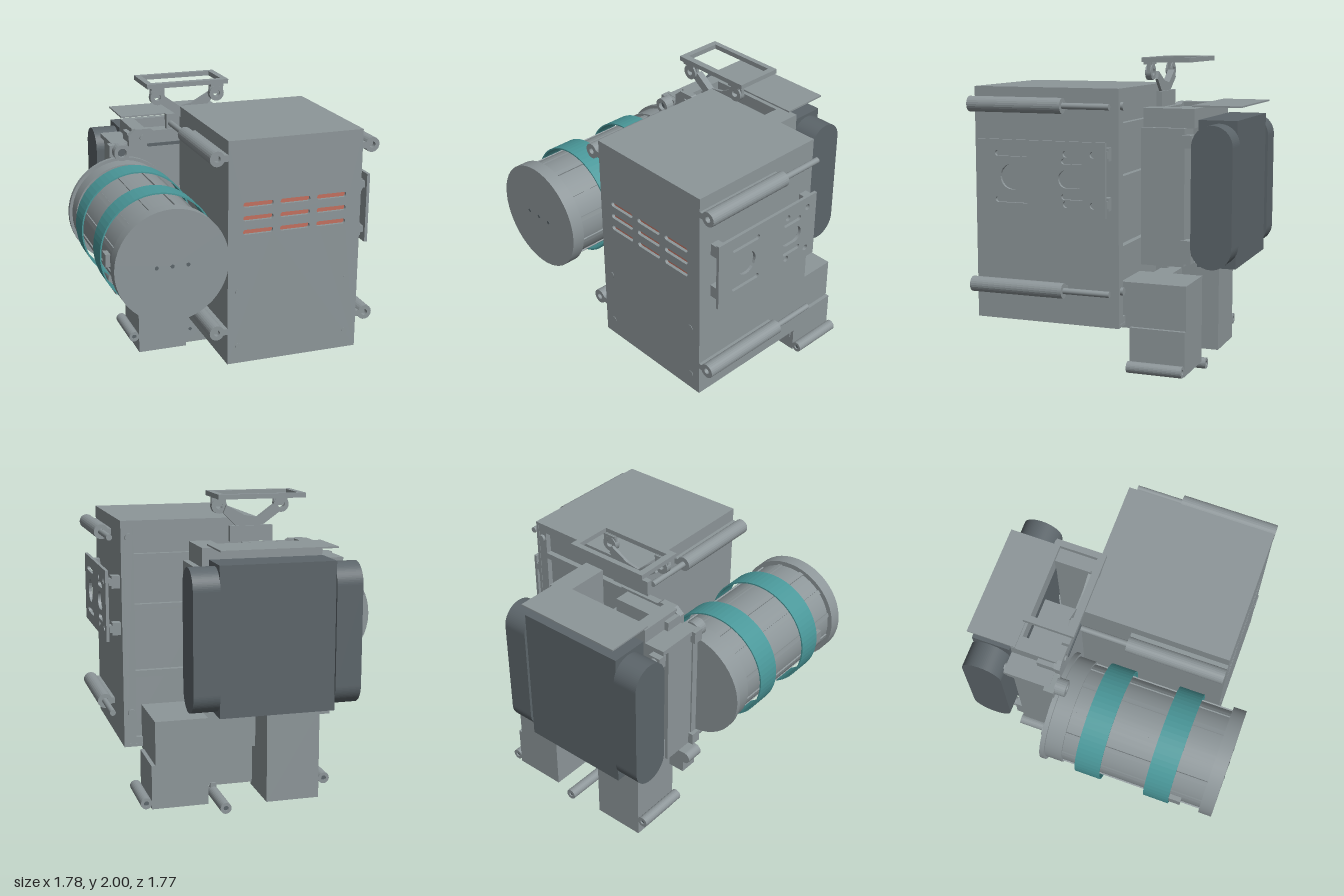
import * as THREE from 'three';

const mat = (name, color) => Object.assign(new THREE.MeshStandardMaterial({ color }), { name });

export function createModel() {
  const root = new THREE.Group();
  root.name = 'deviceAssembly';
  const grey = mat('body grey', 0x8d9699), dark = mat('pack dark grey', 0x5c656a);
  const teal = mat('band teal', 0x4a989a), red = mat('board red', 0xc2705f);

  const add = (name, geo, m = grey) => {
    const mesh = new THREE.Mesh(geo, m);
    mesh.name = name;
    root.add(mesh);
    return mesh;
  };
  // Box given by its limits on each axis
  const box = (name, x0, x1, y0, y1, z0, z1, m) =>
    add(name, new THREE.BoxGeometry(x1 - x0, y1 - y0, z1 - z0)
      .translate((x0 + x1) / 2, (y0 + y1) / 2, (z0 + z1) / 2), m);
  // Cylinder along z
  const rod = (name, x, y, r, z0, z1, m, seg = 24) =>
    add(name, new THREE.CylinderGeometry(r, r, z1 - z0, seg).rotateX(Math.PI / 2)
      .translate(x, y, (z0 + z1) / 2), m);
  // Outlines
  const rect = (x0, x1, y0, y1) => new THREE.Shape([[x0, y0], [x1, y0], [x1, y1], [x0, y1]]
    .map(p => new THREE.Vector2(...p)));
  const circle = (x, y, r) => new THREE.Shape().absarc(x, y, r, 0, Math.PI * 2);
  const slot = (x0, x1, y, r) => new THREE.Shape()
    .absarc(x1 - r, y, r, -Math.PI / 2, Math.PI / 2)
    .absarc(x0 + r, y, r, Math.PI / 2, Math.PI * 1.5);
  const poly = pts => new THREE.Shape(pts.map(p => new THREE.Vector2(...p)));
  const extrude = (shape, holes, depth, seg = 12) => {
    shape.holes.push(...holes);
    return new THREE.ExtrudeGeometry(shape, { depth, bevelEnabled: false, curveSegments: seg });
  };
  const plate = (name, shape, holes, z0, z1, m, seg) =>
    add(name, extrude(shape, holes, z1 - z0, seg).translate(0, 0, z0), m);

  // Main housing: hollow sleeve, slotted front, recessed ribbed back
  plate('housingSleeve', rect(-0.11, 0.775, 0.37, 1.83), [rect(-0.09, 0.755, 0.39, 1.81)], -0.265, 0.67);
  const vents = [];
  for (const y of [1.245, 1.333, 1.42])
    for (const x of [-0.012, 0.232, 0.476]) vents.push(slot(x, x + 0.198, y, 0.016));
  const screws = [[-0.038, 0.855], [0.695, 0.855], [-0.038, 0.485], [0.7, 0.485]];
  plate('housingFront', rect(-0.11, 0.775, 0.37, 1.83), vents, 0.67, 0.69);
  for (const [x, y] of screws) rod('frontScrew', x, y, 0.02, 0.68, 0.693);
  box('ventBoard', -0.05, 0.72, 1.19, 1.47, 0.625, 0.635, red);
  box('housingBack', -0.095, 0.76, 0.385, 1.815, -0.225, -0.205);
  for (const y of [0.41, 0.85, 1.28, 1.6, 1.79]) box('backRib', -0.09, 0.755, y - 0.02, y + 0.02, -0.262, -0.22);
  for (const x of [-0.06, 0.725]) {
    box('backRail', x - 0.03, x + 0.03, 0.39, 1.81, -0.262, -0.22);
    for (const y of [0.595, 1.725]) rod('backBolt', x, y, 0.025, -0.28, -0.26);
  }

  // Four side tubes with inner rods
  for (const x of [-0.18, 0.84]) for (const y of [0.595, 1.725]) {
    plate('sideTube', circle(x, y, 0.048), [circle(x, y, 0.02)], 0.07, 0.69);
    rod('sideRod', x, y, 0.019, -0.23, 0.66);
    const s = x > 0 ? 1 : -1, edge = x > 0 ? 0.775 : -0.11;
    box('tubeMount', Math.min(edge, x - s * 0.03), Math.max(edge, x - s * 0.03), y - 0.02, y + 0.02, 0.07, 0.69);
  }

  // Mounting plate on the left flank
  const sideHoles = [circle(-0.395, 1.288, 0.079), slot(-0.51, -0.285, 1.43, 0.017), slot(-0.51, -0.285, 1.145, 0.017),
    slot(-0.09, 0.085, 1.288, 0.056), slot(-0.07, 0.08, 1.395, 0.017), slot(-0.07, 0.08, 1.18, 0.017)];
  for (const u of [-0.04, 0.135]) for (const y of [1.135, 1.44]) sideHoles.push(circle(u, y, 0.02));
  add('sidePlate', extrude(rect(-0.625, 0.215, 1.06, 1.515), sideHoles, 0.02)
    .rotateY(Math.PI / 2).translate(0.848, 0, 0));
  for (const y of [1.14, 1.44]) for (const z of [-0.19, 0.57]) {
    box('plateStandoff', 0.775, 0.83, y - 0.04, y + 0.04, z - 0.03, z + 0.03);
    box('plateStandoffNeck', 0.83, 0.85, y - 0.022, y + 0.022, z - 0.03, z + 0.03);
  }

  // Canister with caps, strips and bands
  const cx = -0.525, cy = 1.16;
  rod('canisterBody', cx, cy, 0.322, -0.2, 0.85, grey, 48);
  rod('canisterCap', cx, cy, 0.353, 0.795, 0.88, grey, 48);
  rod('canisterCollar', cx, cy, 0.34, -0.24, -0.13, grey, 48);
  rod('canisterFlange', cx, cy, 0.36, -0.27, -0.24, grey, 48);
  for (const dx of [-0.097, 0, 0.097]) rod('capPin', cx + dx, cy, 0.012, 0.87, 0.883, dark, 12);
  for (let i = 0; i < 12; i++) {
    const strip = add('canisterStrip', new THREE.BoxGeometry(0.014, 0.03, 0.93).translate(0.323, 0, 0.33));
    strip.position.set(cx, cy, 0);
    strip.rotation.z = (i + 0.5) * Math.PI / 6;
  }
  for (const z of [-0.03, 0.43])
    plate('canisterBand', circle(cx, cy, 0.365), [circle(cx, cy, 0.356)], z, z + 0.165, teal, 32);
  box('canisterClip', -0.875, -0.84, 1.12, 1.2, 0.595, 0.67);
  // Screw sockets above and below the canister
  for (const y of [0.762, 1.558]) {
    plate('socket', circle(cx, y, 0.054), [circle(cx, y, 0.03)], -0.27, -0.2);
    rod('socketBolt', cx, y, 0.028, -0.27, -0.225, dark);
    box('socketBlock', -0.595, -0.47, y - 0.04, y + 0.04, -0.33, -0.262);
  }

  // Carrier between housing, canister and rear pack
  plate('carrierPlate', poly([[-0.11, 0.55], [-0.41, 0.55], [-0.46, 0.72], [-0.57, 0.8], [-0.57, 1.52],
    [-0.46, 1.58], [-0.46, 1.65], [-0.41, 1.69], [-0.31, 1.69], [-0.29, 1.675], [0.0, 1.675], [0.0, 0.55]].reverse()),
  [], -0.315, -0.27);
  rod('carrierEar', -0.363, 1.63, 0.022, -0.32, -0.26);
  rod('lowerEar', -0.585, 0.65, 0.04, -0.4, -0.28);
  rod('lowerPin', -0.52, 0.597, 0.022, -0.4, -0.27);
  box('lowerFoot', -0.575, -0.465, 0.53, 0.62, -0.4, -0.28);
  box('lowerArm', -0.585, -0.1, 0.615, 0.69, -0.4, -0.28);
  box('lowerRail', -0.38, 0.35, 0.69, 0.705, -0.4, -0.26);
  plate('lowerSlot', slot(-0.42, -0.1, 0.65, 0.017), [], -0.28, -0.272);
  box('carrierSide', -0.56, -0.02, 0.72, 1.57, -0.54, -0.315);
  box('carrierTop', -0.46, -0.05, 1.57, 1.66, -0.42, -0.31);
  box('carrierTopRim', -0.57, -0.43, 1.57, 1.6, -0.6, -0.3);
  box('carrierRightWall', 0.2, 0.38, 0.7, 1.57, -0.55, -0.265);
  box('carrierRightTop', 0.2, 0.34, 1.57, 1.69, -0.6, -0.265);
  box('carrierLeftTop', -0.43, -0.34, 1.57, 1.69, -0.6, -0.3);
  box('carrierBridge', -0.43, 0.34, 1.57, 1.69, -0.6, -0.555);
  box('carrierGrille', -0.33, -0.1, 1.57, 1.59, -0.285, -0.262, dark);
  for (const x of [-0.5, 0.36]) for (const [y0, y1] of [[0.72, 0.87], [1.45, 1.53]]) {
    box('packBracket', x - 0.04, x + 0.04, y0, y1, -0.6, -0.535);
    rod('packBolt', x, (y0 + y1) / 2, 0.03, -0.63, -0.59);
  }

  // Rear pack with rounded ends and a cover sheet
  box('packCore', -0.43, 0.3, 0.69, 1.62, -0.863, -0.615, dark);
  for (const x of [-0.595, 0.3]) {
    const end = new THREE.Shape().absarc(0.75, 1.47, 0.131, 0, Math.PI).absarc(0.75, 0.842, 0.131, Math.PI, Math.PI * 2);
    add('packEnd', extrude(end, [], 0.167, 20).rotateY(Math.PI / 2).translate(x, 0, 0), dark);
  }
  box('coverSheet', -0.43, 0.3, 1.7, 1.71, -0.885, -0.57);

  // Folding frame on top
  plate('topFrame', rect(-0.345, 0.215, 0.205, 0.525), [rect(-0.305, 0.175, 0.25, 0.49)], 0, 0.03)
    .geometry.rotateX(-Math.PI / 2).translate(0, 1.97, 0);
  for (const x of [-0.27, 0.14]) {
    plate('frameLug', rect(x - 0.045, x + 0.05, 1.9, 1.972), [], -0.255, -0.235);
    plate('frameLugEye', circle(x, 1.905, 0.05), [circle(x, 1.905, 0.022)], -0.262, -0.222);
    box('lugPin', x - 0.045, x + 0.045, 1.955, 1.97, -0.265, -0.21);
  }
  plate('frameStrutRight', poly([[-0.25, 1.86], [-0.11, 1.76], [-0.04, 1.76], [-0.04, 1.81], [-0.11, 1.83], [-0.22, 1.91]]),
    [], -0.285, -0.24);
  plate('frameStrutLeft', poly([[-0.11, 1.76], [0.02, 1.76], [0.12, 1.86], [0.1, 1.91], [-0.02, 1.845], [-0.11, 1.83]]),
    [], -0.285, -0.266);
  box('frameHinge', -0.2, 0.08, 1.68, 1.78, -0.3, -0.262);

  // Lower legs, front web and bridge
  box('rightLeg', -0.41, -0.062, 0.055, 0.64, -0.655, -0.3);
  box('leftLeg', 0.32, 0.68, 0.08, 0.36, -0.655, -0.3);
  box('leftLegBlock', 0.385, 0.655, 0.18, 0.37, -0.64, -0.29);
  box('leftLegTop', 0.32, 0.655, 0.35, 0.64, -0.655, -0.235);
  box('legWeb', -0.07, 0.33, 0.08, 0.355, -0.325, -0.3);
  box('legBridge', -0.07, 0.33, 0.35, 0.6, -0.4, -0.27);
  rod('webScrew', -0.03, 0.182, 0.012, -0.31, -0.297, dark, 12);
  for (const [x, y] of [[-0.445, 0.18], [0.715, 0.12], [0.205, 0.038]]) {
    plate('legRoller', circle(x, y, 0.036), [circle(x, y, 0.016)], -0.655, -0.3);
    rod('rollerCore', x, y, 0.016, -0.645, -0.31, dark, 12);
  }
  box('rollerTab', 0.185, 0.225, 0.06, 0.1, -0.34, -0.3);
  return root;
}
